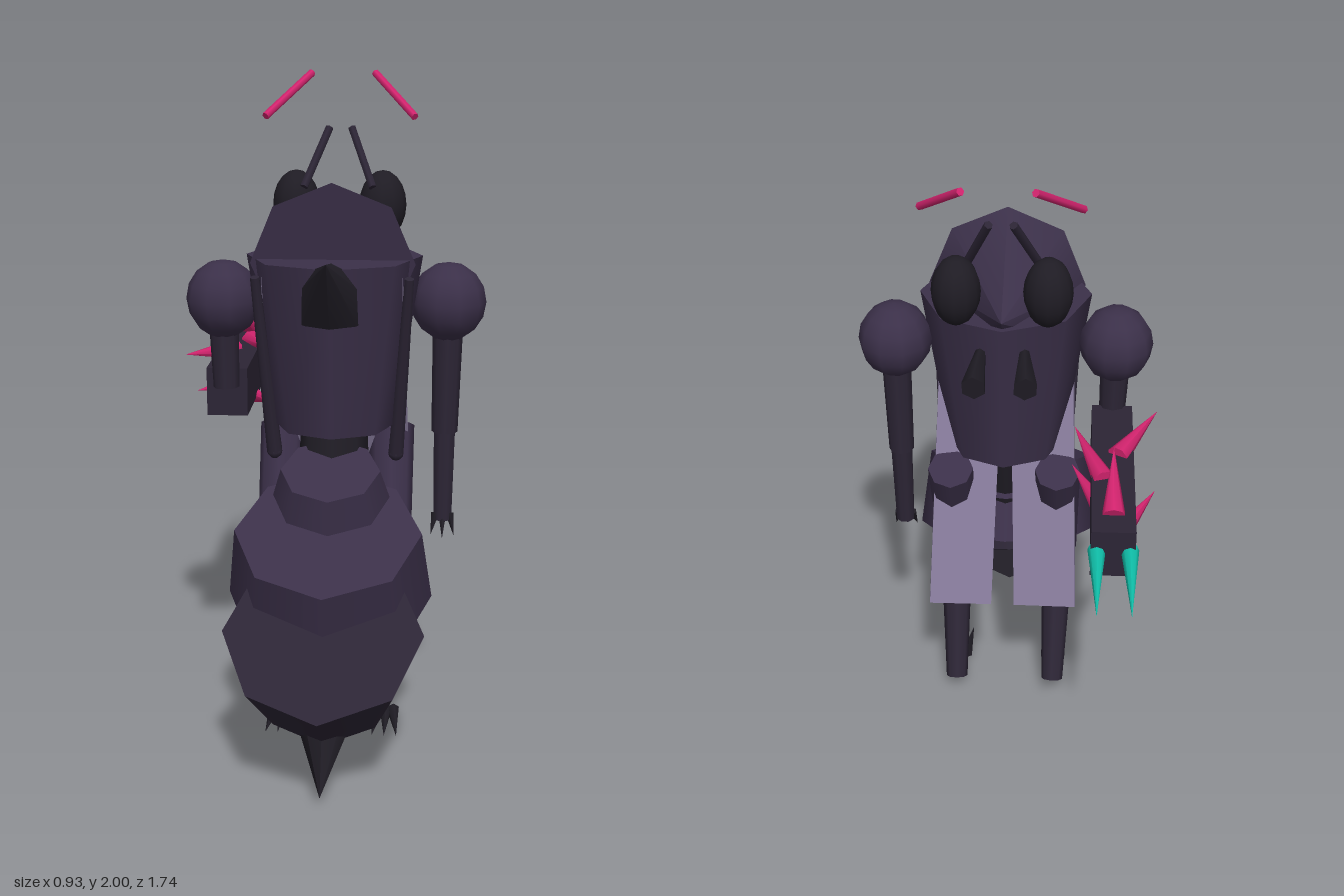
import * as THREE from 'three';

const shell = 0x3b3049, dark = 0x1f1c24, plum = 0x2c2535, wingTone = 0x857a99, pink = 0xd4246f, teal = 0x10c0aa;
const UP = new THREE.Vector3(0, 1, 0);

export function createModel() {
  const model = new THREE.Group();
  model.position.x = 0.013;

  function add(name, geometry, color) {
    const mesh = new THREE.Mesh(geometry, new THREE.MeshStandardMaterial({ color }));
    mesh.name = name;
    model.add(mesh);
    return mesh;
  }

  // Tapered round part from point a to point b; rb = 0 gives a spike
  function taper(name, a, b, ra, rb, color, sides = 8) {
    const from = new THREE.Vector3(...a), to = new THREE.Vector3(...b);
    const axis = to.clone().sub(from);
    const mesh = add(name, new THREE.CylinderGeometry(rb, ra, axis.length(), sides), color);
    mesh.position.copy(from).add(to).multiplyScalar(0.5);
    mesh.quaternion.setFromUnitVectors(UP, axis.normalize());
    return mesh;
  }

  function ball(name, p, scale, color, w = 10, h = 8) {
    const mesh = add(name, new THREE.SphereGeometry(1, w, h), color);
    mesh.position.set(...p);
    mesh.scale.set(...scale);
    return mesh;
  }

  // Torso, waist and the spike on the upper back
  taper('torso', [0, 0.96, 0.143], [0, 1.48, 0.148], 0.183, 0.263, shell);
  taper('waist', [0, 0.76, 0.2], [0, 1.0, 0.14], 0.11, 0.1, dark);
  taper('backSpike', [0, 1.375, 0.305], [0, 1.51, 0.505], 0.115, 0, dark);

  // Abdomen: tilted overlapping segments, then the stinger
  taper('abdomenSegment1', [0, 0.69, 0.26], [0, 0.865, 0.33], 0.2, 0.148, shell);
  taper('abdomenSegment2', [0, 0.48, 0.34], [0, 0.71, 0.44], 0.305, 0.275, shell);
  taper('abdomenSegment3', [0, 0.26, 0.48], [0, 0.48, 0.645], 0.21, 0.287, plum);
  taper('stinger', [0, 0.305, 0.485], [0, 0.035, 0.775], 0.14, 0, dark);

  // Head
  taper('head', [0, 1.467, 0.235], [0, 1.525, -0.145], 0.243, 0, shell);

  for (const s of [-1, 1]) {
    const side = s > 0 ? 'left' : 'right';

    // Face: eyes, mandibles and two-part antennae
    ball(side + 'Eye', [s * 0.134, 1.6, -0.085], [0.073, 0.106, 0.083], dark, 12, 10);
    taper(side + 'Mandible', [s * 0.065, 1.39, -0.07], [s * 0.075, 1.373, -0.255], 0.016, 0.038, dark, 6);
    taper(side + 'AntennaBase', [s * 0.105, 1.66, -0.02], [s * 0.035, 1.83, -0.135], 0.013, 0.013, plum, 6);
    taper(side + 'AntennaTip', [s * 0.23, 1.867, -0.1], [s * 0.1, 1.99, -0.28], 0.012, 0.012, pink, 6);

    // Shoulder and upper arm
    ball(side + 'Shoulder', [s * 0.341, 1.335, 0.107], [0.114, 0.12, 0.118], shell);
    taper(side + 'UpperArm', [s * 0.341, 1.27, 0.11], [s * 0.336, s > 0 ? 0.93 : 1.06, 0.11], 0.046, 0.04, plum);

    // Folded wing plate crossing the torso and hanging below it
    const wing = add(side + 'Wing', new THREE.BoxGeometry(0.2, 1.03, 0.018), wingTone);
    wing.position.set(s * 0.122, 0.95, 0.083);
    wing.rotation.set(0.367, s * 0.12, s * 0.03);
    taper(side + 'WingRib', [s * 0.226, 1.43, 0.265], [s * 0.188, 0.86, 0.12], 0.014, 0.024, plum, 8);
    ball(side + 'WingRibEnd', [s * 0.188, 0.86, 0.12], [0.024, 0.024, 0.024], plum, 8, 6);

    // Leg with toe claws
    taper(side + 'Thigh', [s * 0.17, 0.92, 0.01], [s * 0.175, 0.485, 0.215], 0.072, 0.062, shell);
    ball(side + 'Knee', [s * 0.175, 0.49, 0.225], [0.055, 0.055, 0.055], plum, 8, 6);
    taper(side + 'Shin', [s * 0.175, 0.49, 0.24], [s * 0.165, 0.05, 0.022], 0.056, 0.036, plum);
    for (const t of [-1, 0, 1]) {
      taper(side + 'Toe', [s * 0.165 + t * 0.024, 0.024, 0.175], [s * 0.165 + t * 0.038, 0.012, 0.335],
        0.02, 0, dark, 6);
    }
  }

  // Clawed left forearm
  taper('leftForearm', [0.336, 0.94, 0.11], [0.334, 0.65, 0.12], 0.035, 0.03, plum);
  for (const t of [-1, 0, 1]) {
    taper('leftClaw', [0.334 + t * 0.022, 0.67, 0.125], [0.334 + t * 0.036, 0.605, 0.14 + (t ? 0.01 : 0.04)],
      0.014, 0, dark, 6);
  }

  // Right forearm: long block with paired points and barbs
  const block = add('rightForearmBlock', new THREE.BoxGeometry(0.126, 0.15, 0.685), plum);
  block.position.set(-0.336, 1.04, -0.243);
  for (const x of [-0.384, -0.29]) {
    taper('rightForearmPoint', [x, 1.04, -0.565], [x, 1.04, -0.865], 0.026, 0, teal);
  }
  const barbs = [
    [[-0.336, 1.11, -0.5], [-0.336, 1.205, -0.285]],
    [[-0.31, 1.11, -0.32], [-0.22, 1.14, -0.07]],
    [[-0.35, 1.11, -0.19], [-0.475, 1.14, 0.03]],
    [[-0.35, 0.95, -0.39], [-0.47, 0.975, -0.165]],
    [[-0.315, 0.95, -0.25], [-0.215, 0.975, -0.03]],
  ];
  for (const [base, tip] of barbs) taper('barb', base, tip, 0.034, 0, pink);

  return model;
}
